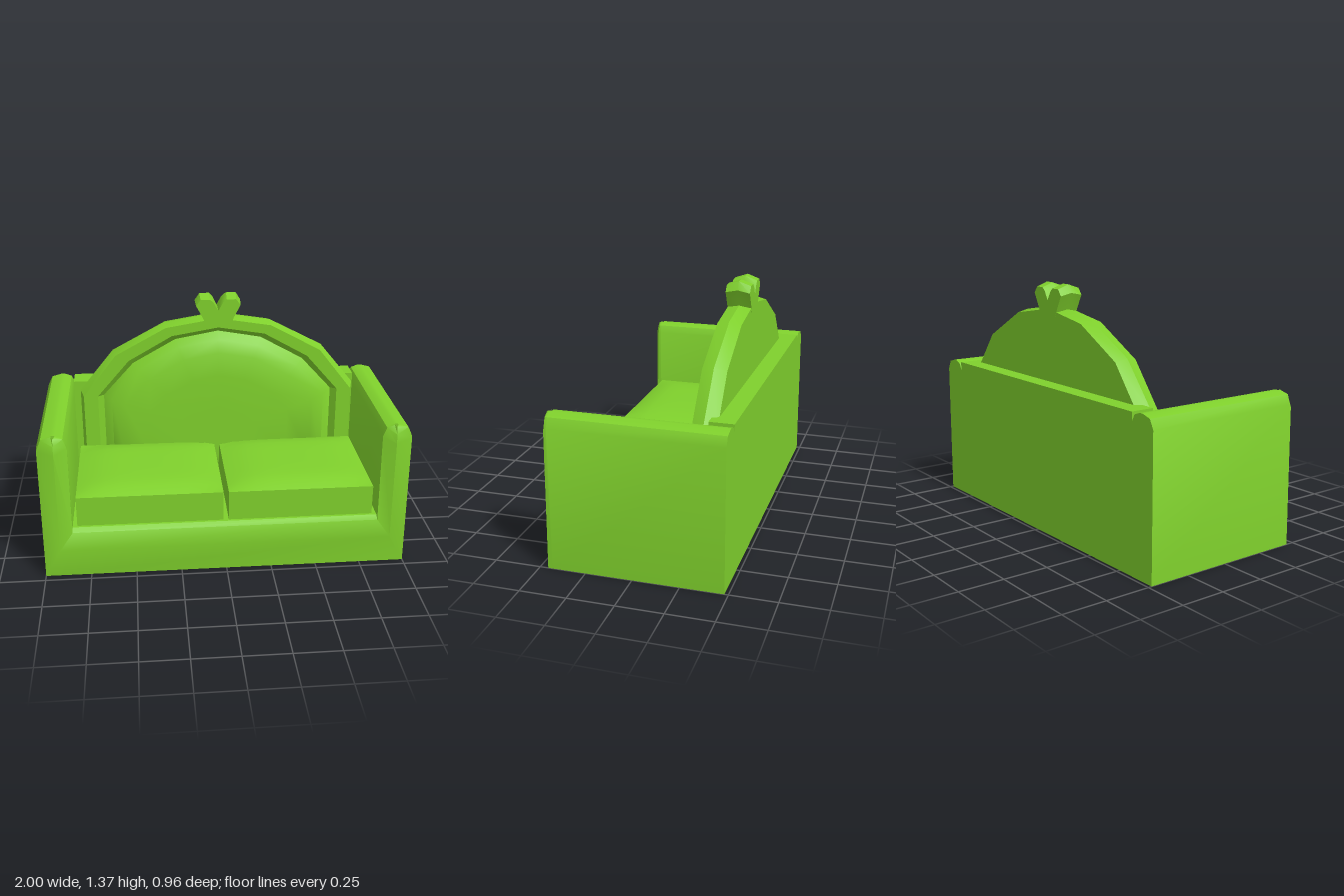
import * as THREE from 'three';
import { toCreasedNormals } from 'three/addons/utils/BufferGeometryUtils.js';

const green = new THREE.MeshStandardMaterial({ color: 0x7fd02c });
green.name = 'green upholstery';

function part(name, geometry, parent, crease = 0.5) {
  const mesh = new THREE.Mesh(toCreasedNormals(geometry, crease), green);
  mesh.name = name;
  parent.add(mesh);
  return mesh;
}

// Skin a list of equal-length rings of [x, y, z], optionally capping both ends
function loft(rings, { closed = true, back = false, front = false } = {}) {
  const n = rings[0].length;
  const index = [];
  for (let r = 0; r < rings.length - 1; r++) {
    for (let i = 0; i < (closed ? n : n - 1); i++) {
      const j = (i + 1) % n;
      const a = r * n + i, b = r * n + j, c = b + n, d = a + n;
      index.push(a, b, c, a, c, d);
    }
  }
  const cap = (r, flip) => {
    const flat = rings[r].map(p => new THREE.Vector2(p[0], p[1]));
    for (const [a, b, c] of THREE.ShapeUtils.triangulateShape(flat, [])) {
      index.push(r * n + a, r * n + (flip ? c : b), r * n + (flip ? b : c));
    }
  };
  if (back) cap(0, true);
  if (front) cap(rings.length - 1, false);
  const g = new THREE.BufferGeometry();
  g.setAttribute('position', new THREE.Float32BufferAttribute(rings.flat(2), 3));
  g.setIndex(index);
  return g;
}

// Mirror a right half (running upwards to the centre line) into a full outline
const CENTRE = 0.015;
function outline(half) {
  const left = half.filter(p => p[0] > 0).reverse().map(([x, y]) => [-x, y]);
  return [...half, ...left].map(([x, y]) => [x + CENTRE, y]);
}
const atZ = (points, z) => points.map(([x, y]) => [x, y, z]);
const scaled = (points, sx, sy, cy) =>
  points.map(([x, y]) => [CENTRE + (x - CENTRE) * sx, cy + (y - cy) * sy]);

function box(name, x0, x1, y0, y1, z0, z1, parent) {
  const g = new THREE.BoxGeometry(x1 - x0, y1 - y0, z1 - z0);
  g.translate((x0 + x1) / 2, (y0 + y1) / 2, (z0 + z1) / 2);
  return part(name, g, parent);
}

function buildFrame(parent) {
  const frame = new THREE.Group();
  frame.name = 'frame';
  parent.add(frame);
  box('seatBase', -0.84, 0.84, 0, 0.285, -0.48, 0.43, frame);
  box('backWall', -0.84, 0.84, 0.285, 0.83, -0.48, -0.35, frame);

  // Arms with rounded tops
  const profile = [[0.84, 0], [1, 0], [1, 0.77], [0.975, 0.82], [0.92, 0.835],
    [0.9, 0.835], [0.86, 0.82], [0.84, 0.78]];
  for (const side of [1, -1]) {
    const shape = new THREE.Shape(profile.map(([x, y]) => new THREE.Vector2(x * side, y)));
    const g = new THREE.ExtrudeGeometry(shape, { depth: 0.91, bevelEnabled: false });
    g.translate(0, 0, -0.48);
    part(side > 0 ? 'leftArm' : 'rightArm', g, frame);
  }

  // Ridged front border running down one arm, across and up the other
  const sides = [
    [[1, 0, 0.43], [1, 0.77, 0.43], [0.975, 0.82, 0.43], [0.92, 0.835, 0.43]],
    [[1, 0, 0.455], [1, 0.755, 0.445], [0.975, 0.82, 0.445], [0.92, 0.835, 0.445]],
    [[0.91, 0.17, 0.48], [0.91, 0.74, 0.478], [0.91, 0.79, 0.472], [0.91, 0.828, 0.46]],
    [[0.84, 0.265, 0.455], [0.84, 0.77, 0.445], [0.86, 0.82, 0.445], [0.9, 0.835, 0.445]],
    [[0.84, 0.285, 0.43], [0.84, 0.78, 0.43], [0.86, 0.82, 0.43], [0.9, 0.835, 0.43]],
  ];
  const rings = sides.map(s => [...s.map(([x, y, z]) => [-x, y, z]).reverse(), ...s]);
  part('frontBorder', loft(rings, { closed: false }), frame, 0.7);
}

function buildCushion(name, side, parent) {
  // Box with a softly domed top
  const g = new THREE.BoxGeometry(0.8, 0.17, 0.665, 10, 1, 10);
  const p = g.attributes.position;
  for (let i = 0; i < p.count; i++) {
    if (p.getY(i) < 0) continue;
    const u = p.getX(i) / 0.4, v = p.getZ(i) / 0.3325;
    p.setY(i, 0.085 + 0.038 * (1 - u ** 4) * (1 - v ** 6));
  }
  g.translate(side * 0.415, 0.37, 0.0825);
  part(name, g, parent, 0.6);
}

function buildBackrest(parent) {
  const backrest = new THREE.Group();
  backrest.name = 'backrest';
  parent.add(backrest);

  // Arched rim with a peaked edge and a recessed inner wall
  const face = outline([[0.795, 0.285], [0.795, 0.77], [0.6, 1.02], [0.305, 1.18], [0, 1.23]]);
  const ridge = outline([[0.815, 0.285], [0.815, 0.79], [0.615, 1.035], [0.31, 1.195], [0, 1.245]]);
  const lip = outline([[0.712, 0.285], [0.712, 0.77], [0.525, 0.985], [0.27, 1.13], [0, 1.175]]);
  const inner = outline([[0.678, 0.285], [0.678, 0.765], [0.5, 0.96], [0.25, 1.1], [0, 1.145]]);
  part('archedRim', loft([
    atZ(face, -0.385), atZ(ridge, -0.32), atZ(face, -0.255), atZ(lip, -0.255), atZ(inner, -0.29),
  ], { back: true }), backrest, 0.45);

  // Padded panel bulging out of the recess
  const levels = [[1, -0.29], [0.93, -0.25], [0.82, -0.218], [0.6, -0.207], [0.3, -0.205]];
  part('paddedPanel', loft(
    levels.map(([s, z]) => atZ(scaled(inner, s, s, 0.52), z)), { front: true }), backrest, 1);

  // Two-lobed crest
  const crest = outline([[0.07, 1.19], [0.09, 1.235], [0.128, 1.307], [0.102, 1.342],
    [0.048, 1.342], [0.028, 1.325], [0, 1.275]]);
  part('crest', loft([
    atZ(crest, -0.386), atZ(scaled(crest, 1.03, 1.25, 1.25), -0.32), atZ(crest, -0.253),
  ], { back: true, front: true }), backrest, 0.45);
}

export function createModel() {
  const sofa = new THREE.Group();
  sofa.name = 'sofa';
  buildFrame(sofa);
  buildCushion('leftCushion', 1, sofa);
  buildCushion('rightCushion', -1, sofa);
  buildBackrest(sofa);
  return sofa;
}
